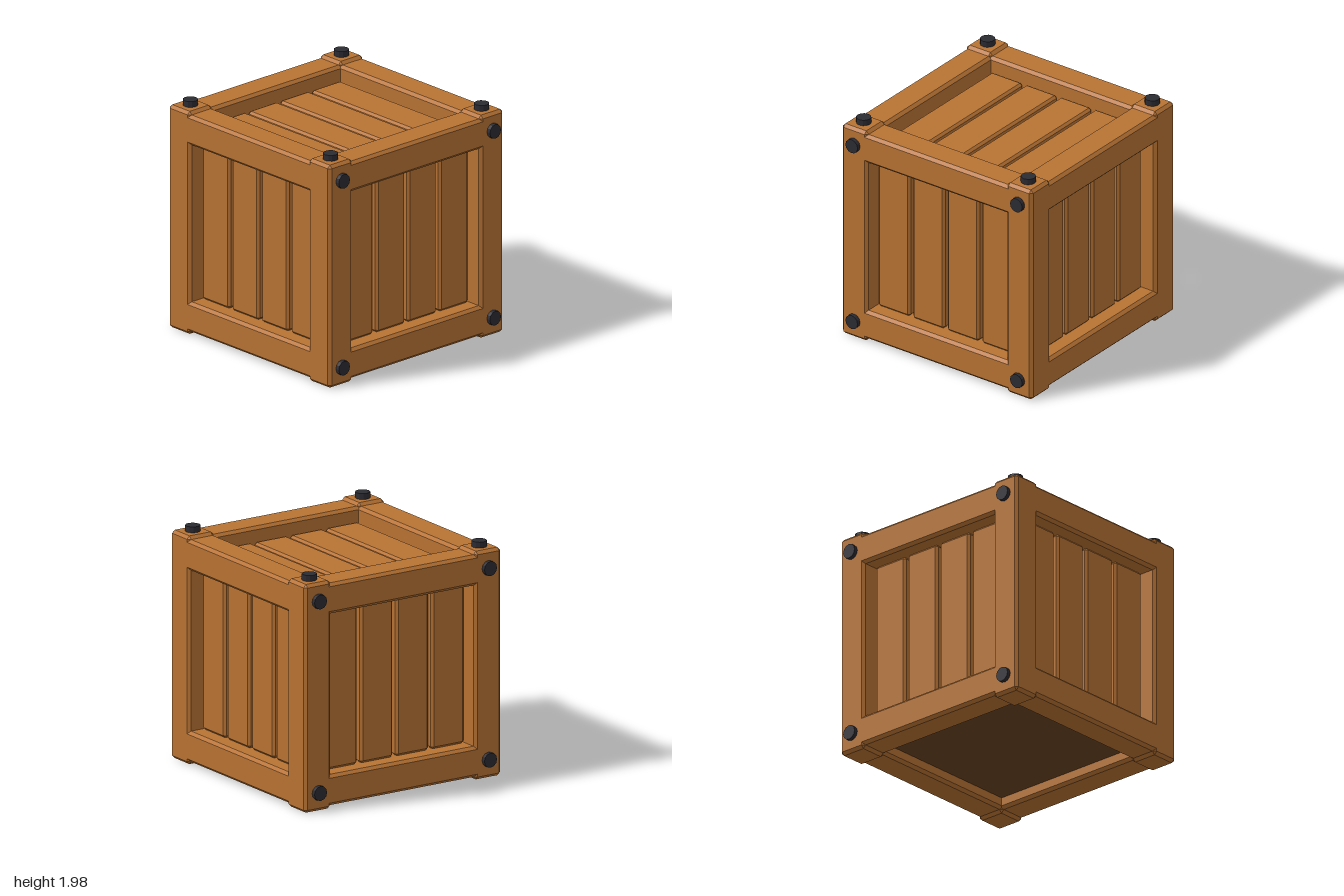
import * as THREE from 'three';
import { ConvexGeometry } from 'three/addons/geometries/ConvexGeometry.js';

const wood = new THREE.MeshStandardMaterial({ color: 0xb87333 });
wood.name = 'wood';
const darkWood = new THREE.MeshStandardMaterial({ color: 0x6b4423 });
darkWood.name = 'darkWood';
const iron = new THREE.MeshStandardMaterial({ color: 0x2b2b33, flatShading: true });
iron.name = 'iron';

const MID = 0.965; // half the outer width, and the centre height

// Box with every edge chamfered by c
function chamferBox(w, h, d, c) {
  const points = [];
  for (const x of [-1, 1]) for (const y of [-1, 1]) for (const z of [-1, 1]) {
    for (let k = 0; k < 3; k++) {
      points.push(new THREE.Vector3(
        x * (w / 2 - (k === 0 ? 0 : c)),
        y * (h / 2 - (k === 1 ? 0 : c)),
        z * (d / 2 - (k === 2 ? 0 : c))));
    }
  }
  return new ConvexGeometry(points);
}

function add(parent, name, geometry, material, x, y, z) {
  const mesh = new THREE.Mesh(geometry, material);
  mesh.name = name;
  mesh.position.set(x, y, z);
  parent.add(mesh);
  return mesh;
}

// Four slats side by side, facing +z, centred on the origin
function slatPanel(name, length) {
  const panel = new THREE.Group();
  panel.name = name;
  const slat = chamferBox(0.322, length, 0.08, 0.02);
  for (let i = 0; i < 4; i++) add(panel, 'slat', slat, wood, (i - 1.5) * 0.35, 0, 0);
  return panel;
}

export function createModel() {
  const crate = new THREE.Group();
  crate.name = 'crate';

  const post = chamferBox(0.26, 1.93, 0.26, 0.025);
  const railX = chamferBox(1.6, 0.26, 0.26, 0.025);
  const railZ = chamferBox(0.26, 0.26, 1.6, 0.025);
  const bolt = new THREE.CylinderGeometry(0.062, 0.062, 0.08, 12);
  const off = 0.835;

  // Corner posts with a bolt on top
  for (const x of [-off, off]) for (const z of [-off, off]) {
    add(crate, 'cornerPost', post, wood, x, MID, z);
    add(crate, 'topBolt', bolt, iron, x, 1.94, z);
  }

  // Top and bottom rails
  for (const y of [0.155, 1.775]) for (const s of [-1, 1]) {
    add(crate, 'crossRail', railX, wood, 0, y, s * off);
    add(crate, 'sideRail', railZ, wood, s * off, y, 0);
    // Bolts on the front and back faces
    for (const x of [-off, off]) {
      const b = add(crate, 'faceBolt', bolt, iron, x, y + 0.003, s * 0.96);
      b.rotation.x = s * Math.PI / 2;
    }
  }

  // Recessed slat walls
  ['frontSlats', 'leftSlats', 'backSlats', 'rightSlats'].forEach((name, i) => {
    const angle = i * Math.PI / 2;
    const panel = slatPanel(name, 1.352);
    panel.rotation.y = angle;
    panel.position.set(Math.sin(angle) * 0.805, MID, Math.cos(angle) * 0.805);
    crate.add(panel);
  });

  // Recessed lid slats, running front to back
  const lid = slatPanel('lidSlats', 1.385);
  lid.rotation.x = -Math.PI / 2;
  lid.position.y = 1.745;
  crate.add(lid);

  // Solid floor
  add(crate, 'floor', new THREE.BoxGeometry(1.42, 0.06, 1.42), darkWood, 0, 0.15, 0);

  return crate;
}
